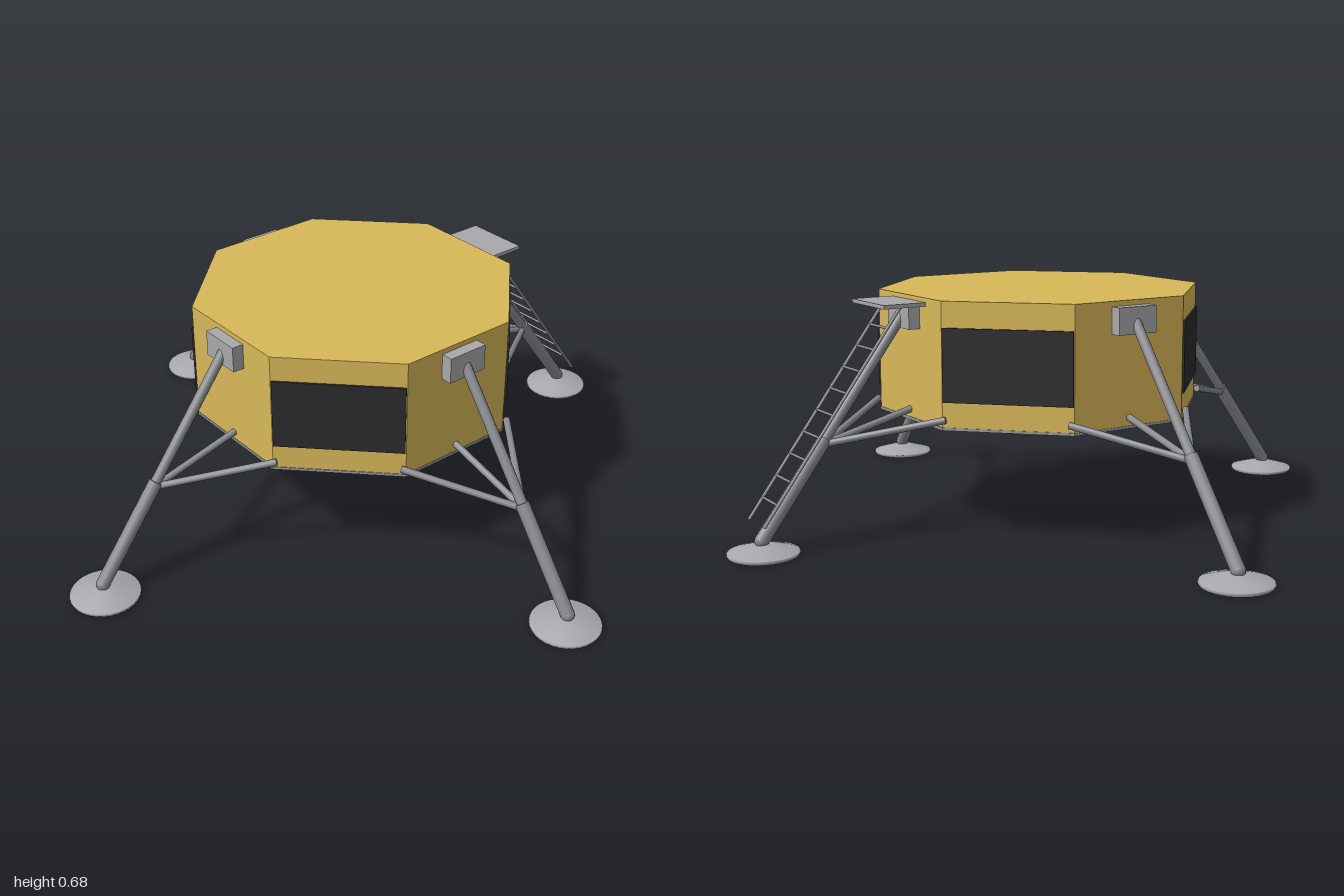
import * as THREE from 'three';

const mat = (color, extra = {}) => new THREE.MeshStandardMaterial({ color, ...extra });
const gold = mat(0xd8b858, { flatShading: true });
const grey = mat(0xa8a8ac);
const rod = mat(0x88898d);
const dark = mat(0x2c2c2e);
const bell = mat(0x2c2c2e, { side: THREE.DoubleSide });

const APOTHEM = 0.443;
const RADIUS = APOTHEM / Math.cos(Math.PI / 8);

function add(parent, name, geometry, material, x = 0, y = 0, z = 0) {
  const mesh = new THREE.Mesh(geometry, material);
  mesh.name = name;
  mesh.position.set(x, y, z);
  parent.add(mesh);
  return mesh;
}

// Round bar between two points
function bar(parent, name, a, b, r, material = rod, sides = 12) {
  const from = new THREE.Vector3(...a), to = new THREE.Vector3(...b);
  const dir = to.clone().sub(from);
  const mesh = add(parent, name, new THREE.CylinderGeometry(r, r, dir.length(), sides), material);
  mesh.position.copy(from).add(to).multiplyScalar(0.5);
  mesh.quaternion.setFromUnitVectors(new THREE.Vector3(0, 1, 0), dir.normalize());
  return mesh;
}

function octagon(height, radius) {
  return new THREE.CylinderGeometry(radius, radius, height, 8).rotateY(Math.PI / 8);
}

// One leg, built facing +z
function createLeg() {
  const leg = new THREE.Group();
  leg.name = 'leg';
  const top = [0, 0.625, 0.465], knee = [0, 0.3, 0.709], foot = [0, 0.04, 0.904];
  add(leg, 'legMount', new THREE.BoxGeometry(0.125, 0.075, 0.04), grey, 0, 0.628, 0.457);
  bar(leg, 'upperStrut', top, knee, 0.015);
  bar(leg, 'lowerStrut', knee, foot, 0.02);
  add(leg, 'ankle', new THREE.SphereGeometry(0.02, 16, 10), rod, ...foot);
  for (const x of [-0.2, 0, 0.2]) {
    bar(leg, 'braceStrut', [x, 0.355, 0.442], [0, 0.285, 0.715], 0.01);
  }
  // Shallow conical foot pad
  const profile = [[0, 0], [0.097, 0], [0.1, 0.007], [0.098, 0.011], [0.03, 0.031], [0, 0.033]];
  const pad = new THREE.LatheGeometry(profile.map(p => new THREE.Vector2(...p)), 32);
  add(leg, 'footPad', pad, grey, 0, 0, 0.9);
  return leg;
}

// Ladder and platform over the rear leg
function createLadder() {
  const ladder = new THREE.Group();
  ladder.name = 'ladder';
  add(ladder, 'platform', new THREE.BoxGeometry(0.195, 0.011, 0.13), grey, 0, 0.662, -0.505);
  const y0 = 0.655, y1 = 0.09, z0 = -0.497, z1 = -0.917, half = 0.053;
  for (const x of [-half, half]) {
    bar(ladder, 'ladderRail', [x, y0, z0], [x, y1, z1], 0.005, rod, 8);
  }
  for (let i = 1; i < 10; i++) {
    const y = y0 + (y1 - y0) * i / 10, z = z0 + (z1 - z0) * i / 10;
    bar(ladder, 'ladderRung', [-half, y, z], [half, y, z], 0.004, rod, 8);
  }
  return ladder;
}

export function createModel() {
  const model = new THREE.Group();
  model.name = 'landerBase';

  // Octagonal body with a grey belly plate
  add(model, 'body', octagon(0.348, RADIUS), gold, 0, 0.506, 0);
  add(model, 'bellyPlate', octagon(0.008, RADIUS + 0.002), mat(0x9a9a9e, { flatShading: true }), 0, 0.328, 0);

  // Dark panels on the diagonal faces, legs on the straight ones
  for (let i = 0; i < 4; i++) {
    const bay = new THREE.Group();
    bay.name = 'equipmentBay';
    bay.rotation.y = Math.PI / 4 + i * Math.PI / 2;
    add(bay, 'bayPanel', new THREE.BoxGeometry(0.362, 0.205, 0.02), dark, 0, 0.505, APOTHEM - 0.004);
    model.add(bay);

    const leg = createLeg();
    leg.rotation.y = i * Math.PI / 2;
    model.add(leg);
  }

  // Open engine bell under the belly
  const bellProfile = [[0.16, 0.257], [0.128, 0.275], [0.1, 0.297], [0.074, 0.326]];
  add(model, 'engineBell', new THREE.LatheGeometry(bellProfile.map(p => new THREE.Vector2(...p)), 40), bell);

  model.add(createLadder());
  return model;
}
